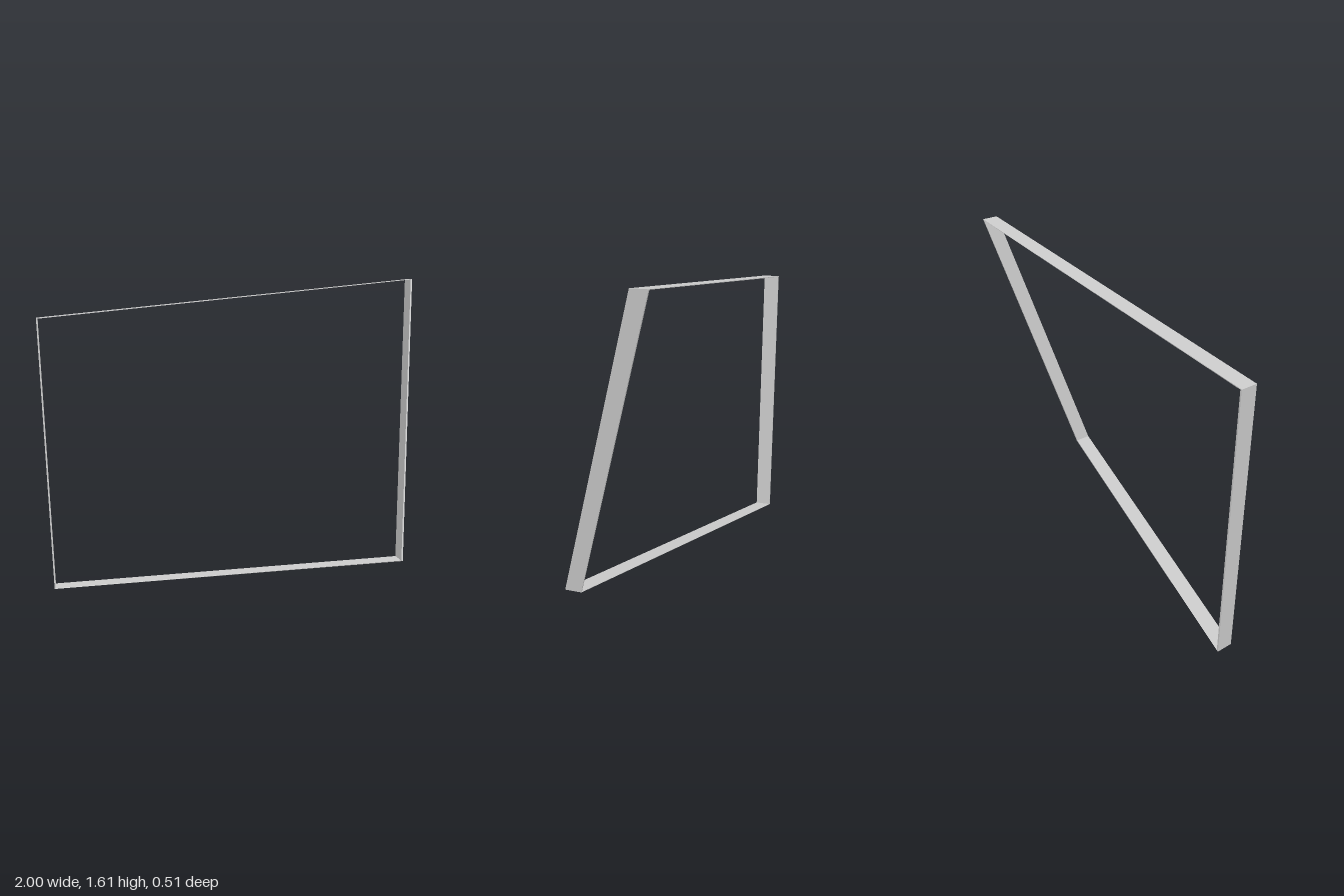
import * as THREE from 'three';

const DEPTH = 0.083; // width of the band along z
const TX = 0.008;    // thickness of the upright strips
const TY = 0.003;    // thickness of the top and bottom strips

// Outer corners at the back edge, with the direction towards the inside
const corners = [
  { p: [-0.953, 0, -0.254], inward: [1, 1] },
  { p: [0.818, 0.167, 0.171], inward: [-1, 1] },
  { p: [1, 1.613, -0.254], inward: [-1, -1] },
  { p: [-1, 1.416, -0.254], inward: [1, -1] },
];

// Cross-section at a corner: outer back, outer front, inner front, inner back
function section({ p: [x, y, z], inward: [sx, sy] }) {
  const ix = x + sx * TX, iy = y + sy * TY;
  return [[x, y, z], [x, y, z + DEPTH], [ix, iy, z + DEPTH], [ix, iy, z]];
}

// Strip joining the cross-sections of two neighbouring corners
function strip(a, b) {
  const A = section(a), B = section(b), positions = [];
  for (let i = 0; i < 4; i++) {
    const j = (i + 1) % 4;
    for (const v of [A[i], B[i], B[j], A[i], B[j], A[j]]) positions.push(...v);
  }
  const geometry = new THREE.BufferGeometry();
  geometry.setAttribute('position', new THREE.Float32BufferAttribute(positions, 3));
  geometry.computeVertexNormals();
  return geometry;
}

export function createModel() {
  const group = new THREE.Group();
  group.name = 'frame';
  const material = new THREE.MeshStandardMaterial({
    color: 0xcccccc, flatShading: true, side: THREE.DoubleSide,
  });
  // Four thin strips around the twisted frame
  ['bottomStrip', 'leftStrip', 'topStrip', 'rightStrip'].forEach((name, i) => {
    const mesh = new THREE.Mesh(strip(corners[i], corners[(i + 1) % 4]), material);
    mesh.name = name;
    group.add(mesh);
  });
  return group;
}
